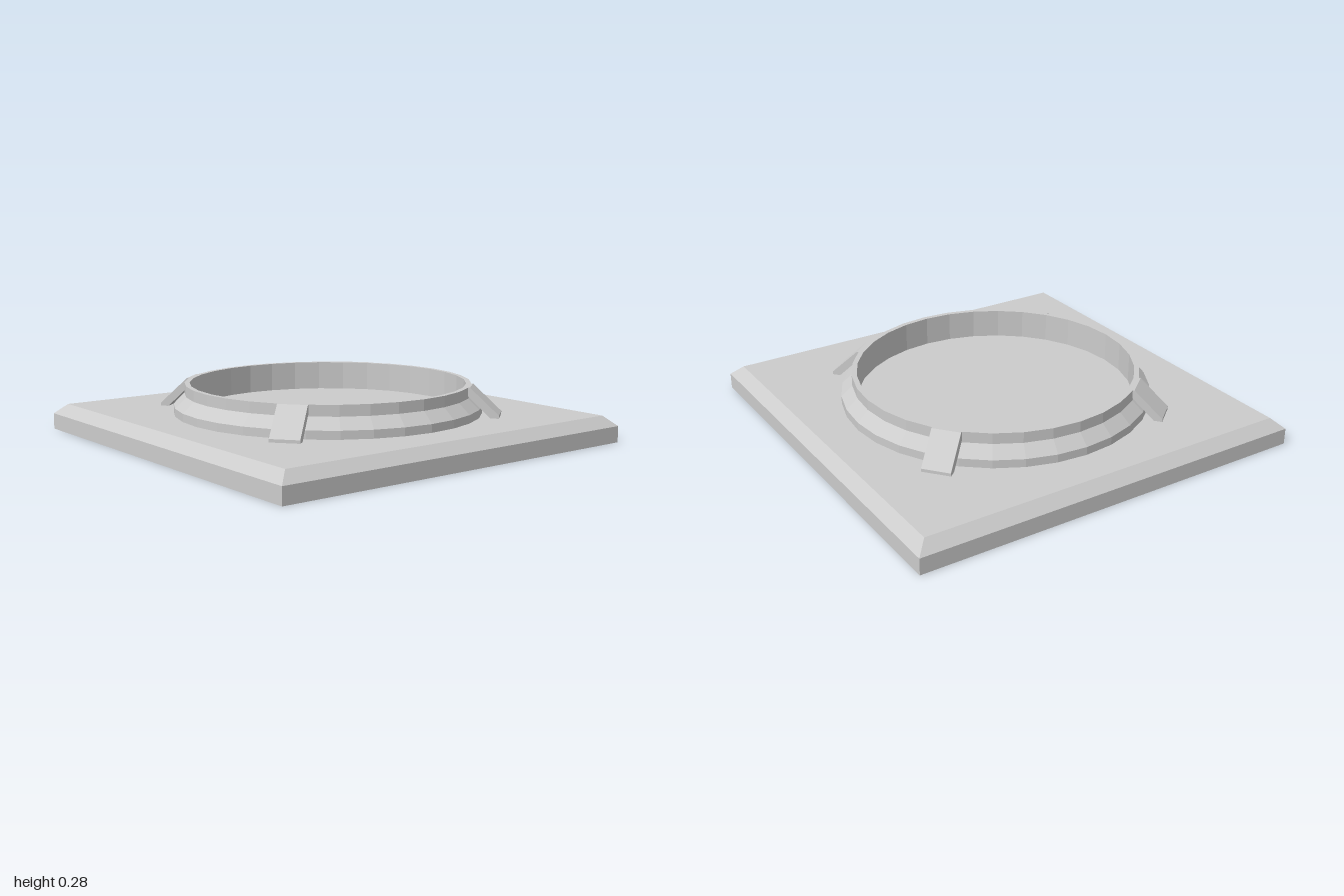
import * as THREE from 'three';

const material = new THREE.MeshStandardMaterial({ color: 0xcccccc, flatShading: true });

function part(name, geometry) {
  const mesh = new THREE.Mesh(geometry, material);
  mesh.name = name;
  return mesh;
}

const points = (list) => list.map(([x, y]) => new THREE.Vector2(x, y));

export function createModel() {
  const group = new THREE.Group();
  group.name = 'ringMount';

  // Square plate with a bevelled upper edge: a four-sided lathe
  const s = Math.SQRT2;
  const plate = points([[0, 0], [s, 0], [s, 0.08], [0.945 * s, 0.13], [0, 0.13]]);
  group.add(part('basePlate', new THREE.LatheGeometry(plate, 4, Math.PI / 4)));

  // Hollow collar with a stepped, sloping outside
  const collar = points([
    [0.76, 0.13], [0.76, 0.17], [0.705, 0.222], [0.705, 0.275], [0.68, 0.275], [0.68, 0.13],
  ]);
  group.add(part('collar', new THREE.LatheGeometry(collar, 32)));

  // Four slanted braces from the collar rim down to the plate
  const width = 0.14;
  const profile = new THREE.Shape(points([
    [0.7, 0.235], [0.81, 0.13], [0.85, 0.13], [0.85, 0.145], [0.71, 0.275], [0.7, 0.275],
  ]));
  const braceGeometry = new THREE.ExtrudeGeometry(profile, { depth: width, bevelEnabled: false });
  braceGeometry.translate(0, 0, -width / 2);
  for (let i = 0; i < 4; i++) {
    const brace = part(`brace${i + 1}`, braceGeometry);
    brace.rotation.y = THREE.MathUtils.degToRad(39.5 + i * 90);
    group.add(brace);
  }

  return group;
}
